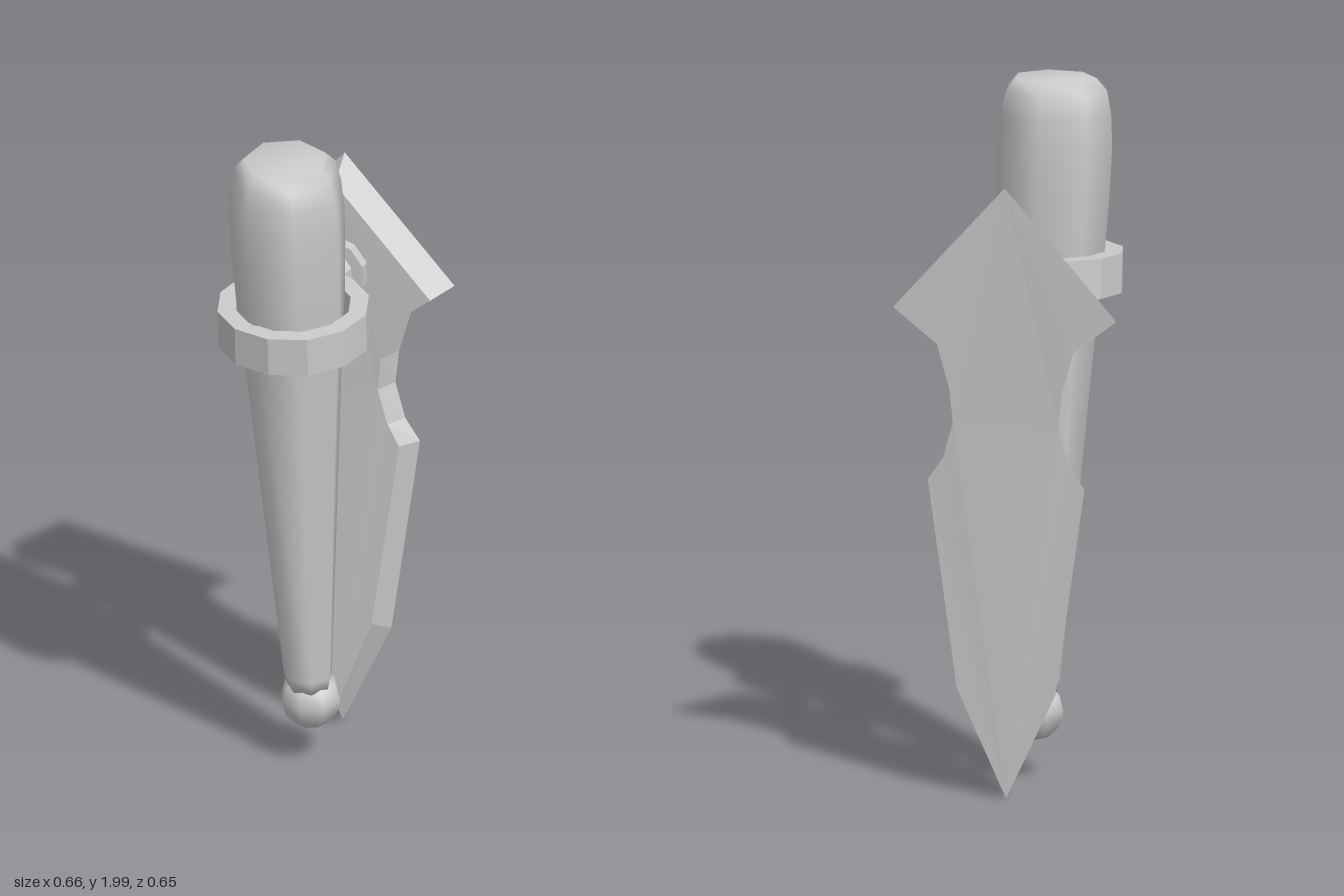
import * as THREE from 'three';

const smooth = new THREE.MeshStandardMaterial({ color: 0xcccccc });
const flat = new THREE.MeshStandardMaterial({ color: 0xcccccc, flatShading: true });

const lathe = (pts, sides, start = 0) =>
  new THREE.LatheGeometry(pts.map(([r, y]) => new THREE.Vector2(r, y)), sides, start);

const TILT = 0.06; // forward tilt of the torch cross-sections and the ring

// Seven-sided tapered torch, leaning forward along a slanted axis
function torchGeometry() {
  const g = lathe([
    [0, 0.25], [0.062, 0.25], [0.07, 0.29], [0.147, 1.4], [0.157, 1.5], [0.166, 1.68],
    [0.168, 1.8], [0.162, 1.89], [0.148, 1.955], [0.118, 1.988], [0, 1.993],
  ], 7, Math.PI);
  const p = g.attributes.position;
  for (let i = 0; i < p.count; i++) {
    const y = p.getY(i), z = p.getZ(i);
    p.setXYZ(i, p.getX(i), y - TILT * z, z - 0.02 + 0.115 * (y - 0.28));
  }
  return g;
}

// Bevelled wall plate: a larger back outline joined to a smaller front one
function plateGeometry() {
  const backHalf = [[0, 0.01], [0.145, 0.32], [0.23, 0.92], [0.185, 0.985], [0.155, 1.09],
    [0.165, 1.19], [0.2, 1.315], [0.328, 1.415], [0, 1.78]];
  const frontHalf = [[0, 0.08], [0.105, 0.35], [0.187, 0.92], [0.153, 0.985], [0.125, 1.09],
    [0.135, 1.19], [0.168, 1.31], [0.285, 1.4], [0, 1.72]];
  const outline = (half) => [...half, ...half.slice(1, -1).reverse().map(([x, y]) => [-x, y])];
  // the plate is a little thicker towards its head
  const grow = (y) => 0.015 * THREE.MathUtils.clamp((y - 0.92) / 0.48, 0, 1);
  const back = outline(backHalf).map(([x, y]) => [x, y, -0.31 - grow(y)]);
  const front = outline(frontHalf).map(([x, y]) => [x, y, -0.255 + grow(y)]);
  const n = back.length, index = [];
  const caps = (ring) => THREE.ShapeUtils.triangulateShape(
    ring.map(([x, y]) => new THREE.Vector2(x, y)), []);
  for (const [a, b, c] of caps(back)) index.push(a, c, b);
  for (const [a, b, c] of caps(front)) index.push(a + n, b + n, c + n);
  for (let i = 0; i < n; i++) {
    const j = (i + 1) % n;
    index.push(i, j, j + n, i, j + n, i + n);
  }
  let g = new THREE.BufferGeometry();
  g.setAttribute('position', new THREE.Float32BufferAttribute([...back, ...front].flat(), 3));
  g.setIndex(index);
  g = g.toNonIndexed();
  g.computeVertexNormals();
  return g;
}

export function createModel() {
  const model = new THREE.Group();
  model.name = 'wallTorch';
  const add = (name, geometry, material, x = 0, y = 0, z = 0, rx = 0) => {
    const m = new THREE.Mesh(geometry, material);
    m.name = name;
    m.position.set(x, y, z);
    m.rotation.x = rx;
    model.add(m);
  };

  add('torchBody', torchGeometry(), smooth);
  add('endKnob', new THREE.SphereGeometry(0.088, 8, 6), smooth, 0, 0.205, -0.038, TILT);

  // Twelve-sided holding ring
  const h = 0.0575;
  add('holdingRing', lathe([[0.165, -h], [0.217, -h], [0.217, h], [0.165, h], [0.165, -h]], 12),
    flat, 0, 1.45, 0.107, TILT);

  // Bracket arm from the ring to the wall plate, turned about the z axis
  add('bracketArm', lathe([[0, -0.22], [0.065, -0.22], [0.065, -0.207], [0.034, -0.118],
    [0.068, -0.098], [0.068, -0.08], [0, -0.08]], 10), flat, 0, 1.46, 0, Math.PI / 2);
  add('bracketDisc', new THREE.CylinderGeometry(0.1, 0.1, 0.04, 10), flat,
    0, 1.458, -0.227, Math.PI / 2);

  add('wallPlate', plateGeometry(), flat);
  return model;
}
